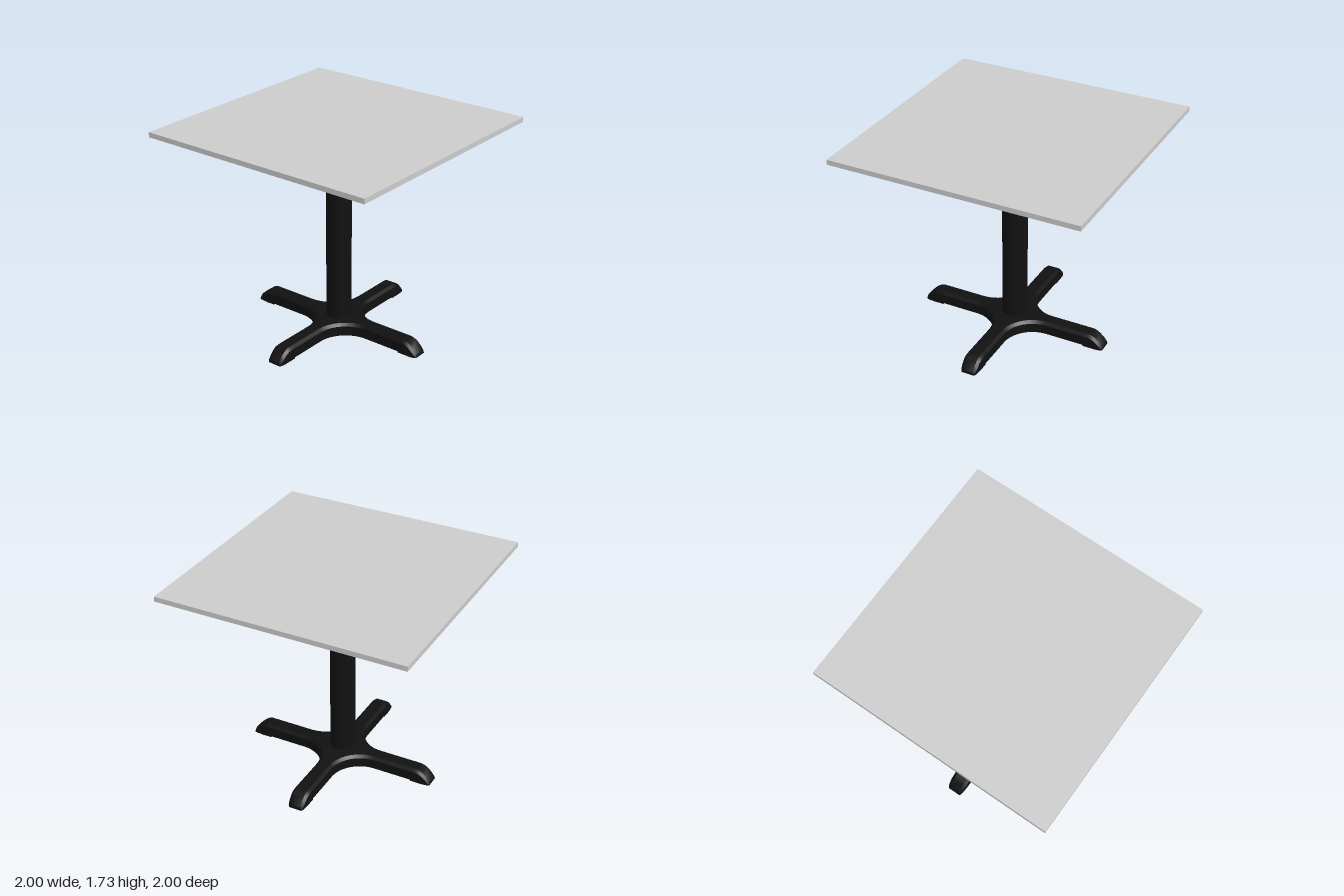
import * as THREE from 'three';
import { toCreasedNormals } from 'three/addons/utils/BufferGeometryUtils.js';

const HALF_WIDTH = 0.068, FILLET = 0.25, CHAMFER = 0.022;

// One ring of an arm: six [x, y, z] corners, chamfered along the top edges.
function ring(x, w, xIn, wIn, bottom, top) {
  const shoulder = top - CHAMFER;
  return [
    [x, bottom, -w], [x, shoulder, -w], [xIn, top, -wIn],
    [xIn, top, wIn], [x, shoulder, w], [x, bottom, w],
  ];
}

// A quarter of the cross base, running out along +x.
function armGeometry() {
  const rings = [];
  const c = HALF_WIDTH + FILLET;
  // Concave fillet from the diagonal out to the straight part
  for (let i = 0; i <= 10; i++) {
    const a = (Math.PI / 4) * (1 - i / 10);
    const s = Math.sin(a), k = Math.cos(a), r = FILLET + CHAMFER;
    rings.push(ring(c - FILLET * s, c - FILLET * k, c - r * s, c - r * k, 0.03, 0.132));
  }
  // Straight part, foot pad step and rounded, sloping toe: x, half width, bottom, top
  const toe = [
    [0.63, 0.068, 0.03, 0.132], [0.634, 0.068, 0.02, 0.132], [0.675, 0.068, 0.02, 0.132],
    [0.7, 0.068, 0.02, 0.127], [0.725, 0.067, 0.02, 0.114], [0.76, 0.065, 0.02, 0.084],
    [0.785, 0.06, 0.02, 0.058], [0.795, 0.053, 0.02, 0.044],
  ];
  for (const [x, w, b, t] of toe) rings.push(ring(x, w, x, w - CHAMFER, b, t));

  const pos = [];
  const tri = (...pts) => pts.forEach((p) => pos.push(...p));
  for (let i = 0; i < rings.length - 1; i++) {
    const p = rings[i], q = rings[i + 1];
    for (let j = 0; j < 6; j++) {
      const n = (j + 1) % 6;
      tri(p[j], p[n], q[n]);
      tri(p[j], q[n], q[j]);
    }
  }
  // Toe cap, then the wedges that meet at the centre
  const first = rings[0], last = rings[rings.length - 1];
  for (let j = 1; j < 5; j++) tri(last[0], last[j], last[j + 1]);
  tri([0, 0.132, 0], first[3], first[2]);
  tri([0, 0.03, 0], first[0], first[5]);

  const geo = new THREE.BufferGeometry();
  geo.setAttribute('position', new THREE.Float32BufferAttribute(pos, 3));
  return toCreasedNormals(geo, 0.6);
}

export function createModel() {
  const group = new THREE.Group();
  const grey = new THREE.MeshStandardMaterial({ color: 0xcccccc });
  const black = new THREE.MeshStandardMaterial({ color: 0x111111 });

  const add = (parent, name, geo, mat, x, y, z) => {
    const mesh = new THREE.Mesh(geo, mat);
    mesh.name = name;
    mesh.position.set(x, y, z);
    parent.add(mesh);
    return mesh;
  };

  // Square top and round column
  add(group, 'tableTop', new THREE.BoxGeometry(2, 0.04, 2), grey, 0, 1.71, 0);
  add(group, 'column', new THREE.CylinderGeometry(0.1, 0.1, 1.59, 48), black, 0, 0.895, 0);

  // Four arms of the cross base, each with a levelling foot
  const base = new THREE.Group();
  base.name = 'crossBase';
  group.add(base);
  const arm = armGeometry();
  const foot = new THREE.CylinderGeometry(0.052, 0.047, 0.021, 32);
  for (let i = 0; i < 4; i++) {
    const leg = new THREE.Group();
    leg.name = 'baseLeg';
    leg.rotation.y = (i * Math.PI) / 2;
    add(leg, 'baseArm', arm, black, 0, 0, 0);
    add(leg, 'levellingFoot', foot, grey, 0.72, 0.0105, 0);
    base.add(leg);
  }
  return group;
}
